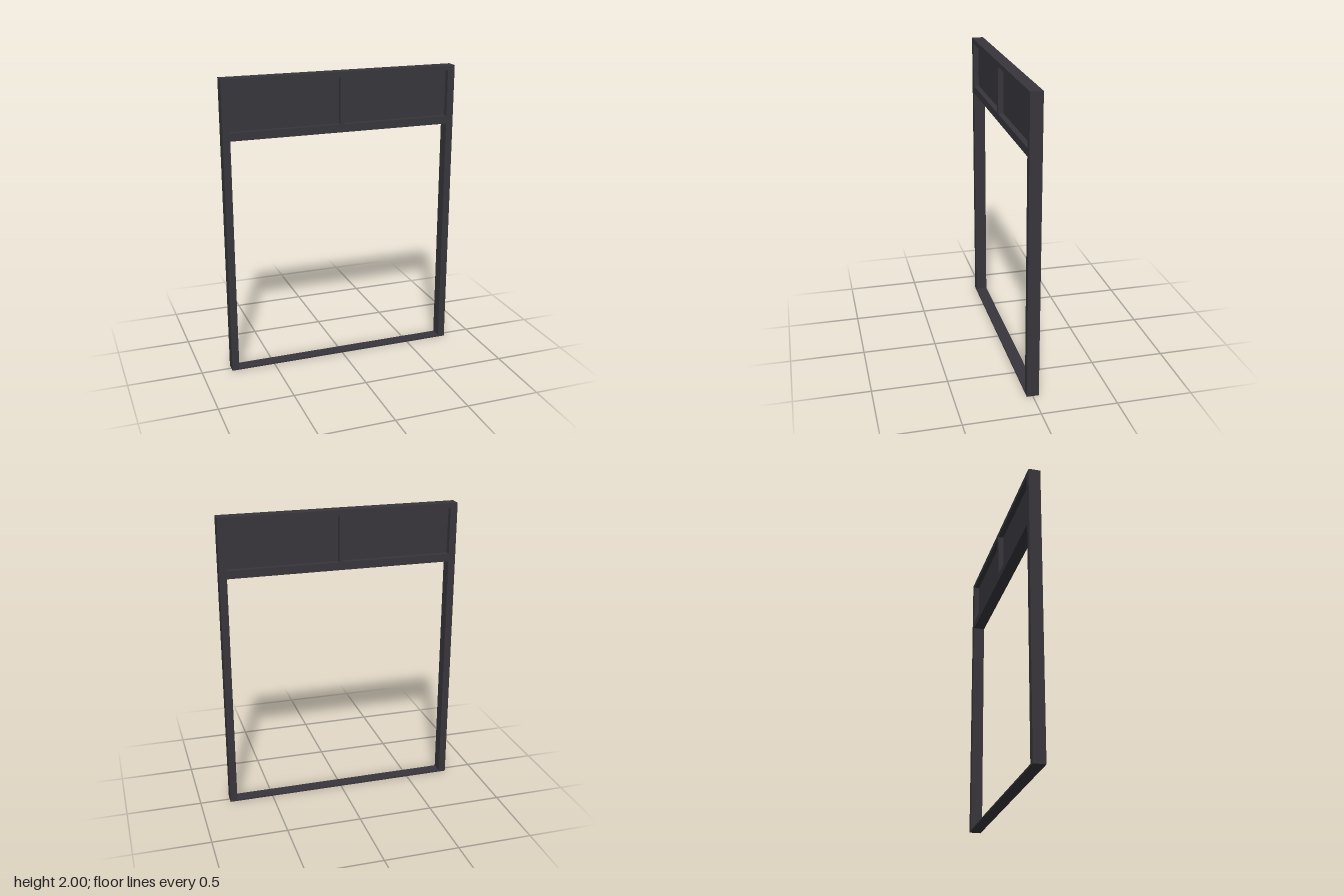
import * as THREE from 'three';

export function createModel() {
  const group = new THREE.Group();
  const darkMetal = new THREE.MeshStandardMaterial({ color: 0x38363c });
  darkMetal.name = 'darkMetal';

  const W = 0.798, inner = 0.75, depth = 0.08;

  // Box given by its x and y limits, centred on z
  const bar = (name, x0, x1, y0, y1, d = depth) => {
    const mesh = new THREE.Mesh(new THREE.BoxGeometry(x1 - x0, y1 - y0, d), darkMetal);
    mesh.position.set((x0 + x1) / 2, (y0 + y1) / 2, 0);
    mesh.name = name;
    group.add(mesh);
  };

  // Outer frame with a flat threshold
  bar('rightJamb', -W, -inner, 0, 2);
  bar('leftJamb', inner, W, 0, 2);
  bar('headRail', -inner, inner, 1.966, 2);
  bar('transomRail', -inner, inner, 1.604, 1.657);
  bar('threshold', -inner, inner, 0, 0.011);

  // Transom: central mullion and two recessed panels
  const m = 0.013;
  bar('mullion', -m, m, 1.657, 1.966);
  bar('rightPanel', -inner, -m, 1.657, 1.966, 0.008);
  bar('leftPanel', m, inner, 1.657, 1.966, 0.008);

  return group;
}
